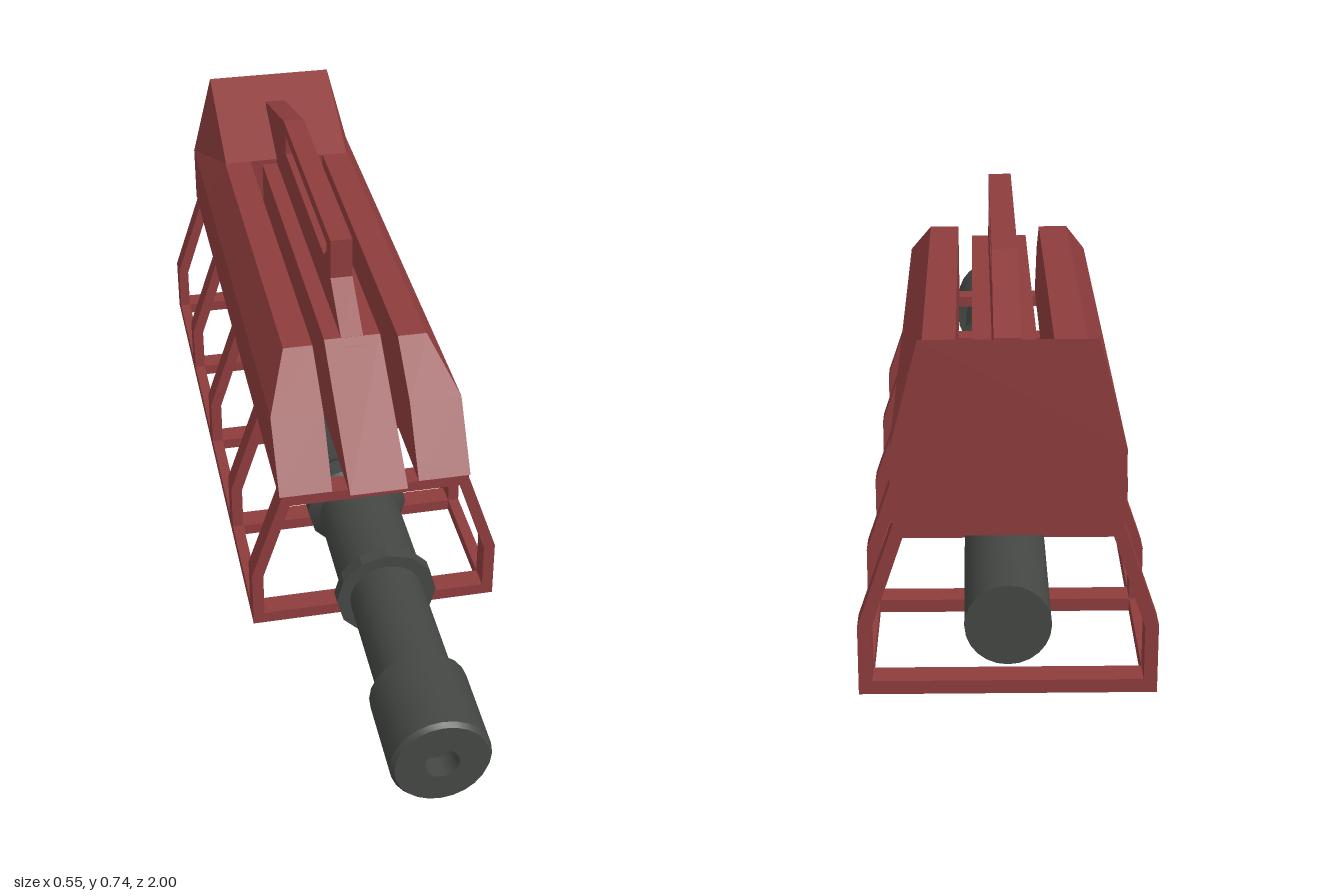
import * as THREE from 'three';
import { toCreasedNormals } from 'three/addons/utils/BufferGeometryUtils.js';

const red = new THREE.MeshStandardMaterial({ color: 0x8e3c3c, flatShading: true });
const dark = new THREE.MeshStandardMaterial({ color: 0x444744 });

function add(parent, name, geometry, material) {
  const mesh = new THREE.Mesh(geometry, material);
  mesh.name = name;
  parent.add(mesh);
  return mesh;
}

function polygon(points, Type = THREE.Shape) {
  return new Type(points.map(([x, y]) => new THREE.Vector2(x, y)));
}

// Side profile given as [z, y], extruded across x and centred
function sidePlate(shape, width) {
  return new THREE.ExtrudeGeometry(shape, { depth: width, bevelEnabled: false })
    .translate(0, 0, -width / 2).rotateY(-Math.PI / 2);
}

// Solid between two six-point sections, counter-clockwise seen from the front
function loft(a, b) {
  const pos = [];
  const tri = (...pts) => pts.forEach((p) => pos.push(...p));
  for (let i = 0; i < 6; i++) {
    const j = (i + 1) % 6;
    if (i < 3) { tri(a[i], b[i], a[j]); tri(b[i], b[j], a[j]); }
    else { tri(a[i], b[i], b[j]); tri(a[i], b[j], a[j]); }
  }
  for (const [p, q, r, s] of [[0, 1, 2, 5], [5, 2, 3, 4]]) {
    tri(a[p], a[q], a[r]); tri(a[p], a[r], a[s]);
    tri(b[r], b[q], b[p]); tri(b[s], b[r], b[p]);
  }
  const g = new THREE.BufferGeometry();
  g.setAttribute('position', new THREE.Float32BufferAttribute(pos, 3));
  g.computeVertexNormals();
  return g;
}

// Turned part along z from a [radius, z] profile
function turned(profile, sides) {
  const g = new THREE.LatheGeometry(profile.map(([r, z]) => new THREE.Vector2(r, z)), sides);
  return toCreasedNormals(g.rotateX(Math.PI / 2), 0.5);
}

function buildBarrel() {
  const barrel = new THREE.Group();
  barrel.name = 'barrel';
  barrel.position.y = 0.14;
  add(barrel, 'barrelTube', turned([[0, -1], [0.08, -1], [0.08, 0.81], [0, 0.81]], 24), dark);
  add(barrel, 'barrelSleeve', turned([[0.07, 0.1], [0.09, 0.1], [0.09, 0.48], [0.07, 0.48]], 24), dark);
  add(barrel, 'muzzle', turned([[0.07, 0.8], [0.102, 0.8], [0.102, 0.99], [0.095, 1],
    [0.035, 1], [0.035, 0.95], [0, 0.95]], 24), dark);
  add(barrel, 'frontCollar', turned([[0.08, 0.47], [0.109, 0.47], [0.109, 0.5], [0.07, 0.5]], 12), dark);
  add(barrel, 'rearCollar', turned([[0.07, 0.1], [0.09, 0.1], [0.114, 0.14],
    [0.114, 0.185], [0.09, 0.205], [0.07, 0.205]], 12), dark);
  return barrel;
}

function buildFrame() {
  const frame = new THREE.Group();
  frame.name = 'frame';
  // Closed ribs, each a bent hoop
  const hoop = polygon([[-0.275, 0], [0.275, 0], [0.275, 0.138], [0.205, 0.345],
    [-0.205, 0.345], [-0.275, 0.138]]);
  hoop.holes.push(polygon([[-0.25, 0.027], [-0.25, 0.133], [-0.188, 0.32],
    [0.188, 0.32], [0.25, 0.133], [0.25, 0.027]], THREE.Path));
  for (const z of [0.355, 0.04, -0.31, -0.655, -0.975]) {
    const g = new THREE.ExtrudeGeometry(hoop, { depth: 0.05, bevelEnabled: false });
    add(frame, 'rib', g.translate(0, 0, z - 0.025), red);
  }
  // Rails joining the ribs
  for (const side of [-1, 1]) {
    add(frame, 'lowerRail', new THREE.BoxGeometry(0.025, 0.027, 1.38), red)
      .position.set(side * 0.2625, 0.0135, -0.31);
    add(frame, 'upperRail', new THREE.BoxGeometry(0.022, 0.025, 1.38), red)
      .position.set(side * 0.195, 0.3325, -0.31);
  }
  return frame;
}

function buildHousing() {
  const housing = new THREE.Group();
  housing.name = 'housing';
  // Two side shells with a slot between them
  const section = (zLow, zMid, zTop) => [[0.095, 0.345, zLow], [0.21, 0.345, zLow],
    [0.21, 0.485, zMid], [0.16, 0.575, zTop], [0.095, 0.575, zTop], [0.095, 0.485, zMid]];
  const mirror = (s) => [1, 0, 5, 4, 3, 2].map((i) => [-s[i][0], s[i][1], s[i][2]]);
  const front = section(0.38, 0.28, 0.155);
  const back = section(-0.73, -0.73, -0.73);
  add(housing, 'leftShell', loft(front, back), red);
  add(housing, 'rightShell', loft(mirror(front), mirror(back)), red);
  // Rear block rising to the back wall
  const full = (top, z) => [[-0.21, 0.345, z], [0.21, 0.345, z], [0.21, 0.485, z],
    [0.158, top, z], [-0.158, top, z], [-0.21, 0.485, z]];
  add(housing, 'rearBlock', loft(full(0.575, -0.73), full(0.69, -1)), red);
  // Sloped spine inside the slot
  add(housing, 'spine', sidePlate(polygon([[0.415, 0.356], [0.12, 0.563],
    [-0.735, 0.563], [-0.735, 0.356]]), 0.126), red);
  // Carrying handle with a long opening
  const handle = polygon([[0.14, 0.549], [0, 0.645], [0, 0.74], [-0.61, 0.74],
    [-0.9, 0.658], [-0.9, 0.63], [-0.74, 0.549]]);
  handle.holes.push(polygon([[-0.045, 0.71], [-0.59, 0.71], [-0.59, 0.66],
    [-0.08, 0.66], [-0.045, 0.69]], THREE.Path));
  add(housing, 'handle', sidePlate(handle, 0.05), red);
  return housing;
}

export function createModel() {
  const model = new THREE.Group();
  model.name = 'model';
  model.add(buildBarrel(), buildFrame(), buildHousing());
  return model;
}
